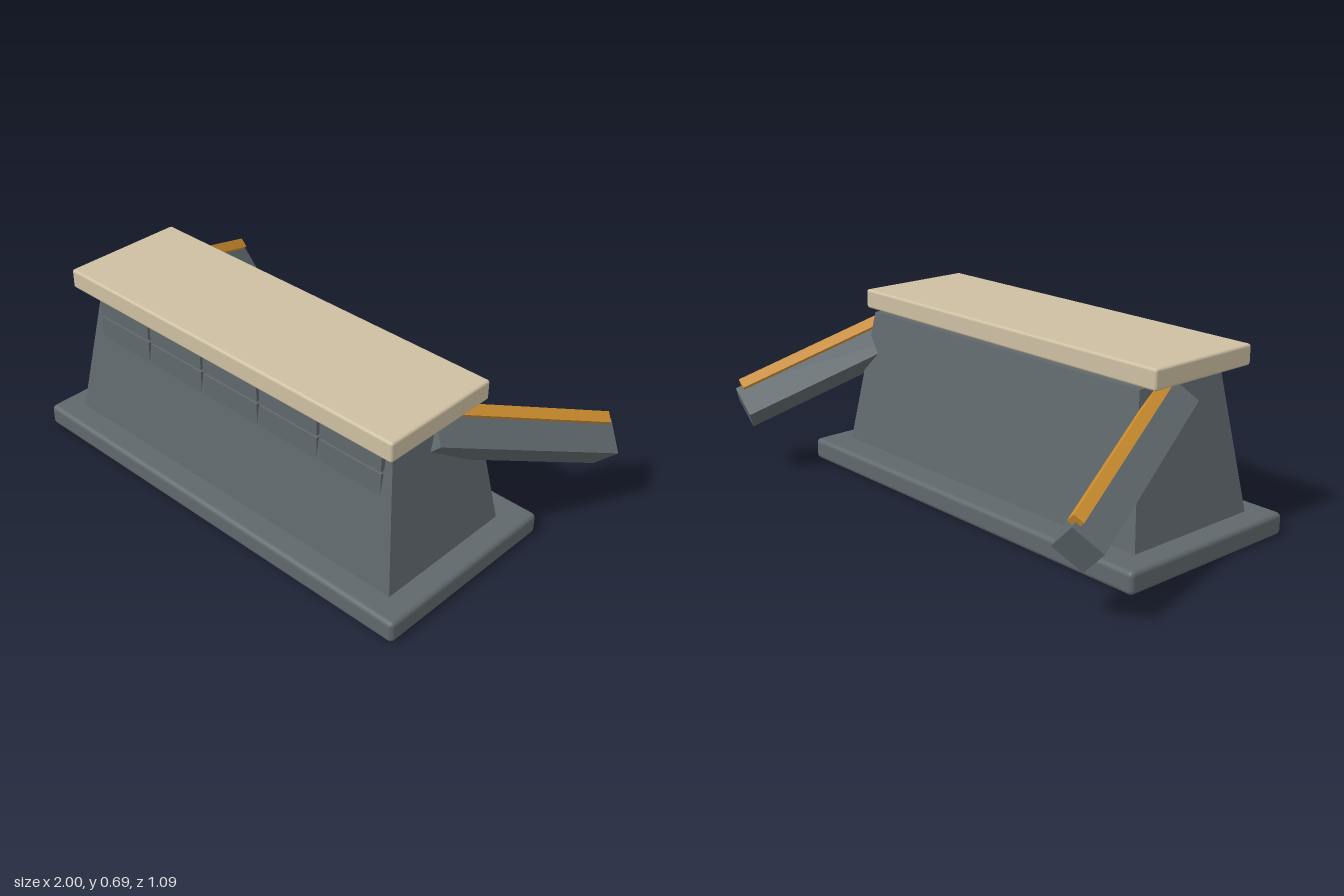
import * as THREE from 'three';
import { RoundedBoxGeometry } from 'three/addons/geometries/RoundedBoxGeometry.js';

const mat = (name, color) => {
  const m = new THREE.MeshStandardMaterial({ color });
  m.name = name;
  return m;
};

export function createModel() {
  const slate = mat('slate grey', 0x5f686c);
  const tan = mat('tan', 0xcdbfa2);
  const amber = mat('amber', 0xd0902f);

  const model = new THREE.Group();
  model.name = 'counter';

  const add = (name, geometry, material, x = 0, y = 0, z = 0, parent = model) => {
    const mesh = new THREE.Mesh(geometry, material);
    mesh.name = name;
    mesh.position.set(x, y, z);
    parent.add(mesh);
    return mesh;
  };

  // Plinth and worktop with softened edges
  add('plinth', new RoundedBoxGeometry(1.74, 0.083, 0.765, 3, 0.018), slate, 0, 0.0415, 0.16);
  add('worktop', new RoundedBoxGeometry(1.53, 0.075, 0.476, 3, 0.01), tan, 0, 0.6475, 0.213);

  // Body: a box tapering towards the top
  const body = new THREE.BoxGeometry(1, 1, 1);
  const p = body.attributes.position;
  for (let i = 0; i < p.count; i++) {
    const top = p.getY(i) > 0;
    p.setXYZ(i, p.getX(i) * (top ? 1.404 : 1.556), top ? 0.605 : 0.08, p.getZ(i) * (top ? 0.4 : 0.56));
  }
  body.computeVertexNormals();
  add('body', body, slate, 0, 0, 0.17);

  // Two rows of five upright front panels
  const panels = new THREE.Group();
  panels.name = 'frontPanels';
  model.add(panels);
  for (const [bottom, top] of [[0.4, 0.498], [0.507, 0.61]]) {
    const panel = new THREE.BoxGeometry(0.263, top - bottom, 0.05);
    for (let i = -2; i <= 2; i++) {
      add('frontPanel', panel, slate, i * 0.2755, (bottom + top) / 2, 0.374, panels);
    }
  }

  // Sloping side arms, set on edge, each with a strip along its ridge
  const width = 0.125, length = 0.775;
  for (const side of [1, -1]) {
    const along = new THREE.Vector3(side * 0.316, -0.345, -0.884).normalize();
    const across = new THREE.Vector3(side * 0.72, 0.69, -0.04);
    across.addScaledVector(along, -across.dot(along)).normalize();
    const third = new THREE.Vector3().crossVectors(across, along);

    const arm = new THREE.Group();
    arm.name = side > 0 ? 'leftArm' : 'rightArm';
    arm.quaternion.setFromRotationMatrix(new THREE.Matrix4().makeBasis(across, along, third));
    arm.position.set(side * 0.795, 0.396, -0.17);
    model.add(arm);

    add('armBeam', new THREE.BoxGeometry(width, length, width), slate, 0, 0, 0, arm);
    add('armStrip', new THREE.BoxGeometry(0.04, length - 0.05, 0.04), amber,
      width / 2, 0, side * width / 2, arm);
  }

  return model;
}
